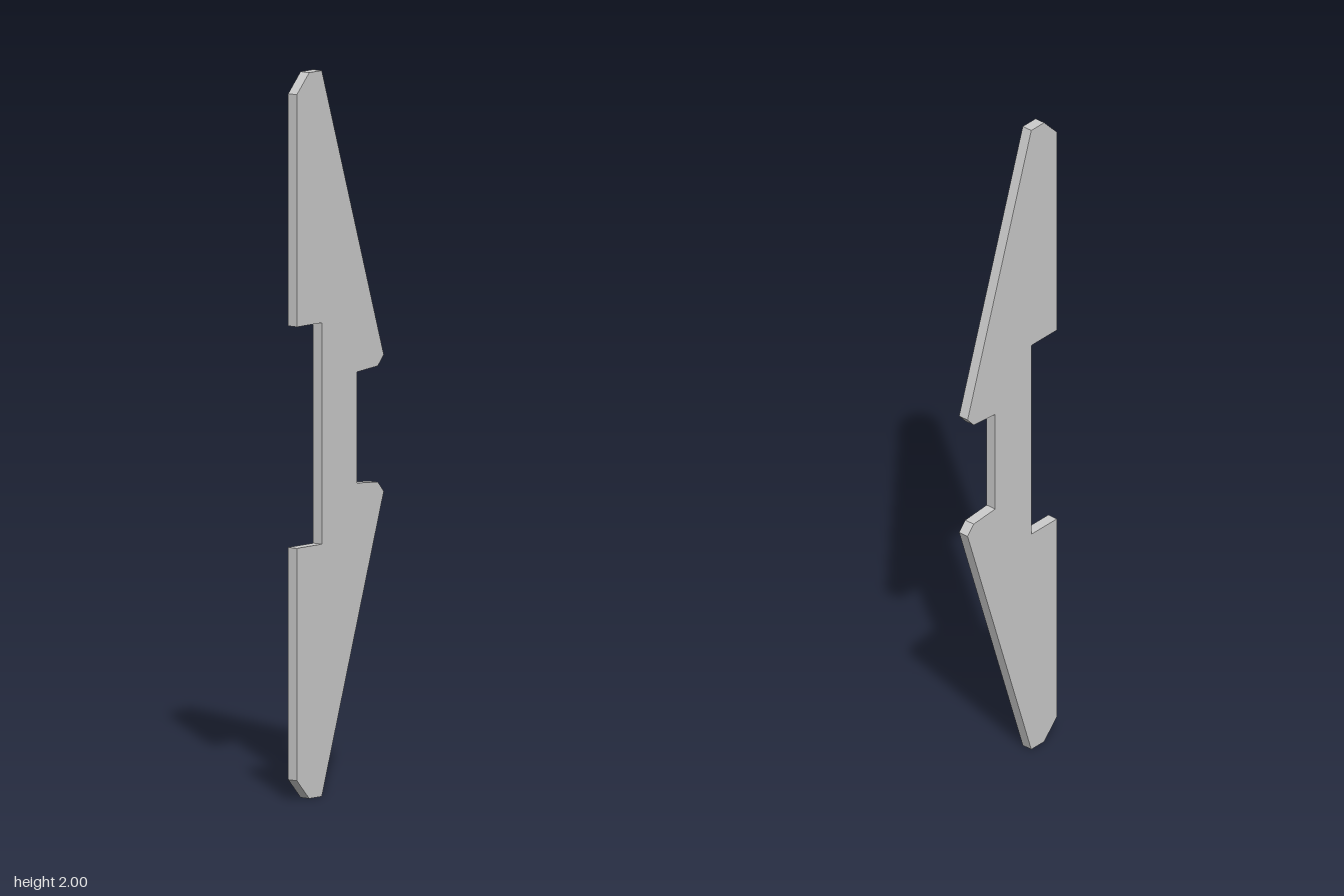
import * as THREE from 'three';

export function createModel() {
  const group = new THREE.Group();
  const depth = 0.031;

  // Upper half of the outline, from the inner grip edge round to the back notch
  const upper = [
    [0.07, 1.153], [0.158, 1.16], [0.183, 1.188], [-0.078, 2],
    [-0.131, 2], [-0.183, 1.945], [-0.183, 1.305], [-0.078, 1.305],
  ];
  // Lower half mirrors it about the middle height
  const lower = upper.map(([x, y]) => [x, 2 - y]).reverse();
  const outline = [...upper, ...lower].map(([x, y]) => new THREE.Vector2(x, y));

  // Flat plate with sharp edges
  const geometry = new THREE.ExtrudeGeometry(new THREE.Shape(outline), {
    depth, bevelEnabled: false,
  });
  geometry.translate(0, 0, -depth / 2);

  const plate = new THREE.Mesh(
    geometry,
    new THREE.MeshStandardMaterial({ color: 0xcccccc, flatShading: true }),
  );
  plate.name = 'notchedPlate';
  group.add(plate);
  return group;
}
